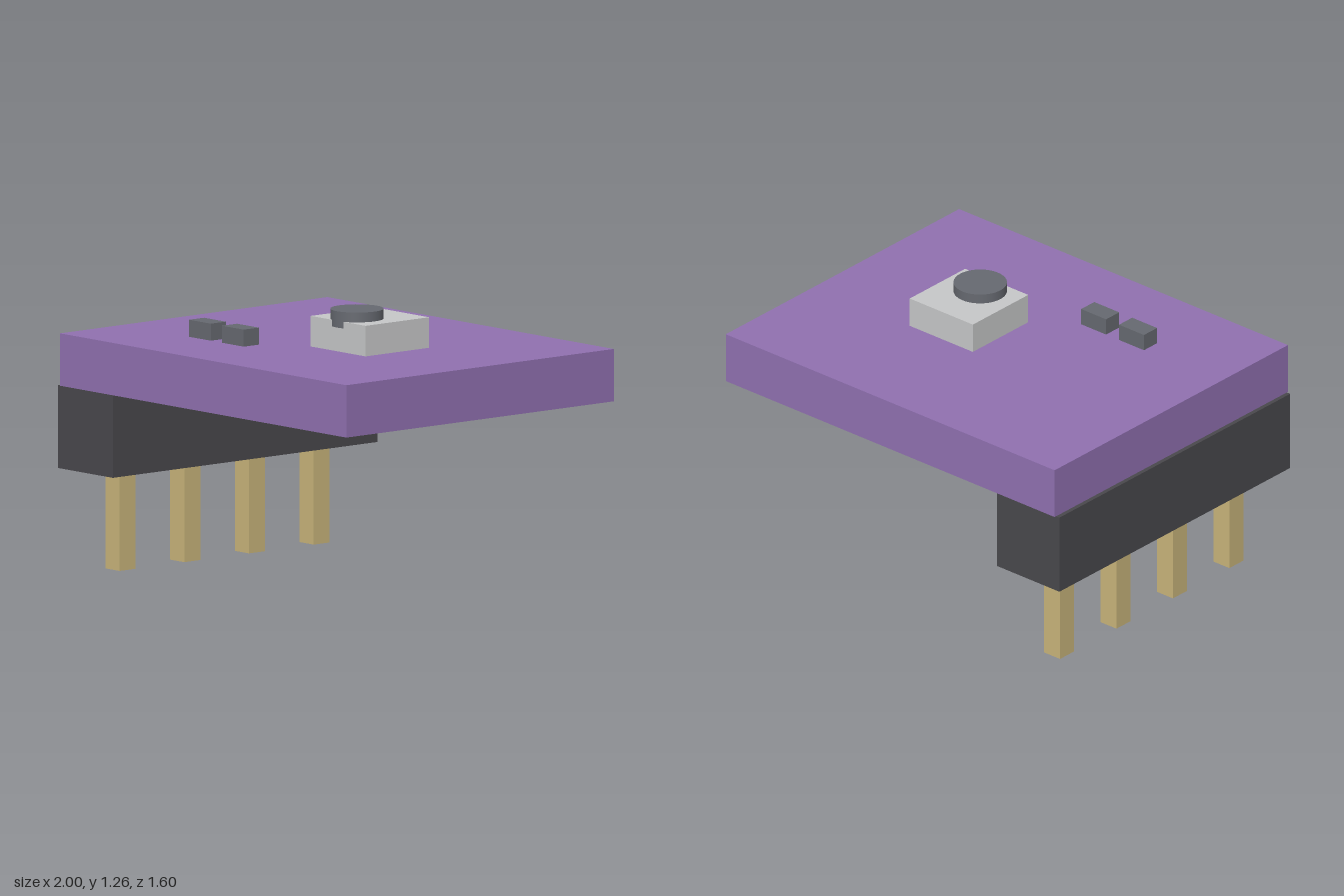
import * as THREE from 'three';

const material = (name, color) => {
  const m = new THREE.MeshStandardMaterial({ color });
  m.name = name;
  return m;
};

export function createModel() {
  const group = new THREE.Group();
  const purple = material('boardPurple', 0x9070b0);
  const black = material('headerBlack', 0x49484c);
  const gold = material('pinGold', 0xc8b47a);
  const silver = material('housingSilver', 0xc6c7c8);
  const grey = material('componentGrey', 0x666970);

  // Box given by its lower and upper bounds on each axis
  const box = (name, mat, [x0, x1], [y0, y1], [z0, z1]) => {
    const mesh = new THREE.Mesh(new THREE.BoxGeometry(x1 - x0, y1 - y0, z1 - z0), mat);
    mesh.position.set((x0 + x1) / 2, (y0 + y1) / 2, (z0 + z1) / 2);
    mesh.name = name;
    group.add(mesh);
  };

  // Circuit board and the pin header beneath its edge
  box('board', purple, [-0.98, 1], [0.84, 1.08], [-0.8, 0.8]);
  box('pinHeader', black, [-1, -0.623], [0.46, 0.84], [-0.79, 0.793]);

  // Row of four square pins
  for (let i = 0; i < 4; i++) {
    const z = 0.583 - i * 0.387;
    box(`pin${i + 1}`, gold, [-0.86, -0.763], [0, 0.46], [z - 0.048, z + 0.048]);
  }

  // Two small surface-mount components
  [-0.523, -0.295].forEach((x, i) =>
    box(`chip${i + 1}`, grey, [x, x + 0.15], [1.08, 1.158], [0.333, 0.423]));

  // Push button: square housing with an off-centre round cap
  box('buttonHousing', silver, [0.048, 0.428], [1.08, 1.22], [-0.19, 0.19]);
  const cap = new THREE.Mesh(new THREE.CylinderGeometry(0.121, 0.121, 0.075, 48), grey);
  cap.position.set(0.237, 1.2275, 0.076);
  cap.name = 'buttonCap';
  group.add(cap);

  return group;
}
